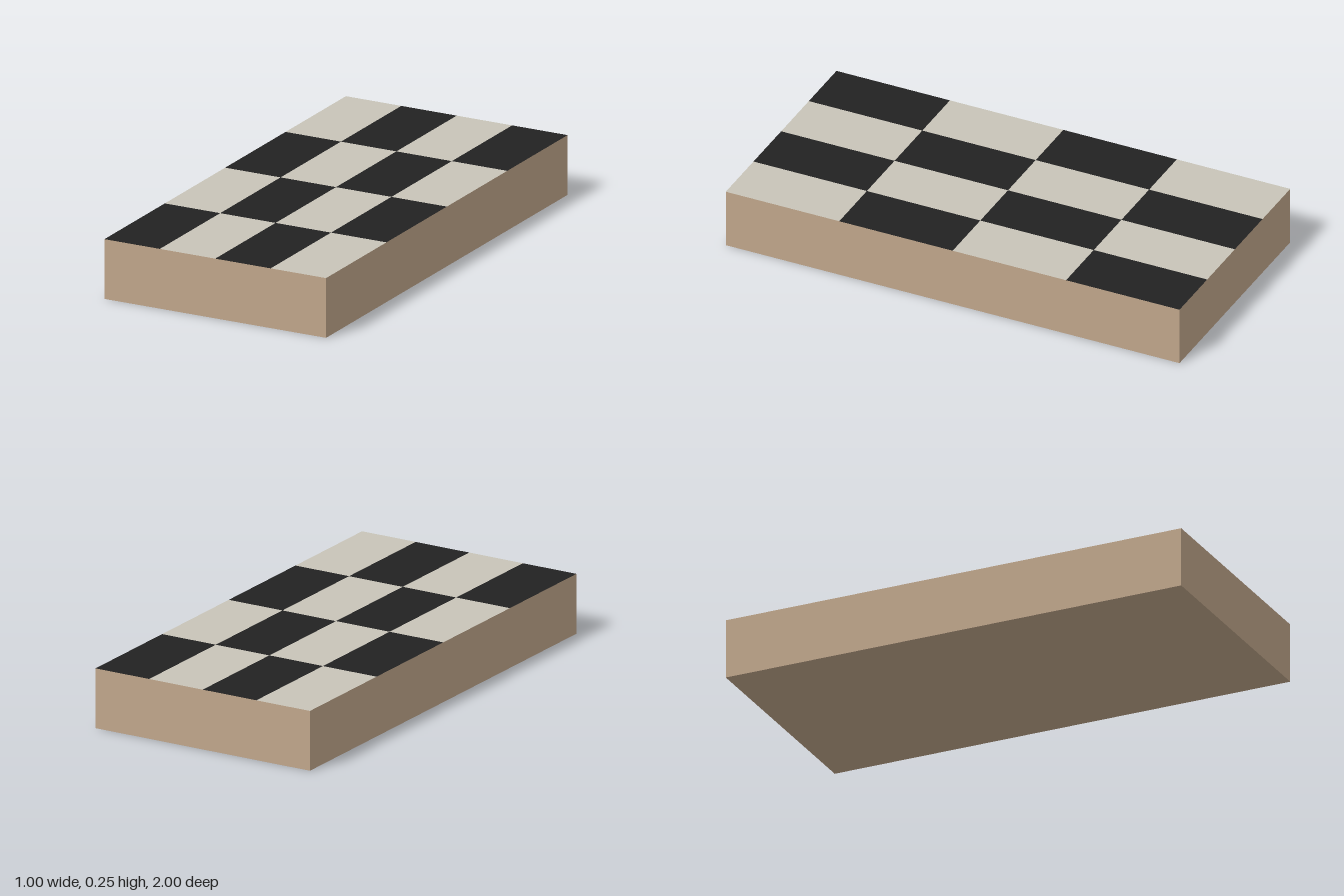
import * as THREE from 'three';

export function createModel() {
  const wood = new THREE.MeshStandardMaterial({ name: 'wood', color: 0xc0a68b });
  const cream = new THREE.MeshStandardMaterial({ name: 'cream', color: 0xc8c4b8 });
  const black = new THREE.MeshStandardMaterial({ name: 'black', color: 0x222222 });

  // Block divided 4 x 4 across its top, one quad per checker square
  const n = 4;
  const geometry = new THREE.BoxGeometry(1, 0.25, 2, n, 1, n);
  const [right, left, top, ...others] = geometry.groups.map((g) => ({ ...g }));
  geometry.clearGroups();

  // Plain wooden sides and underside
  for (const side of [right, left, ...others]) geometry.addGroup(side.start, side.count, 0);

  // Alternating squares, row by row from the back
  for (let row = 0; row < n; row++) {
    for (let col = 0; col < n; col++) {
      const start = top.start + (row * n + col) * 6;
      geometry.addGroup(start, 6, (row + col) % 2 === 0 ? 1 : 2);
    }
  }

  const block = new THREE.Mesh(geometry, [wood, cream, black]);
  block.name = 'checkeredBlock';
  block.position.y = 0.125;

  const model = new THREE.Group();
  model.name = 'checkerboard';
  model.add(block);
  return model;
}
